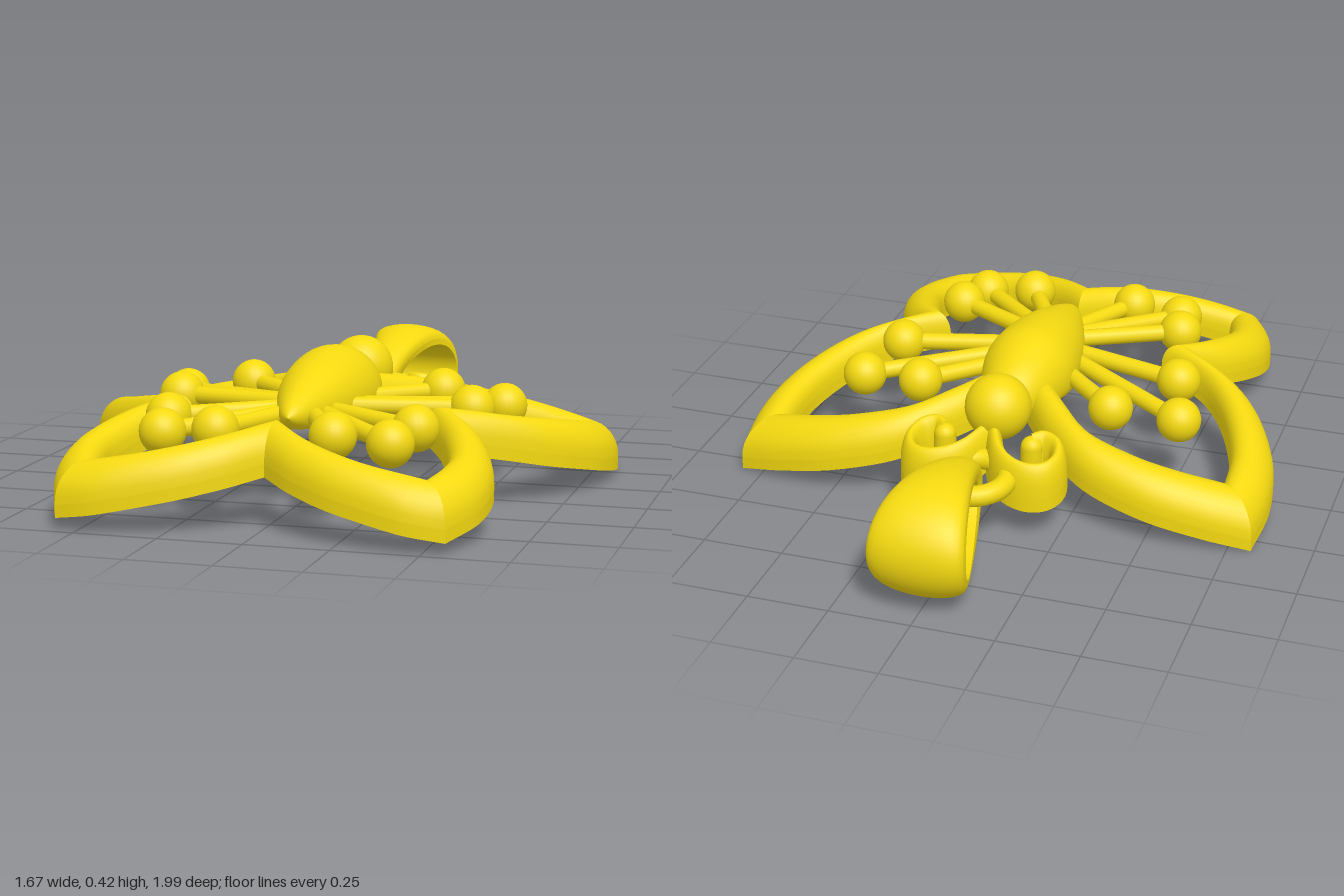
import * as THREE from 'three';

const V2 = (p) => new THREE.Vector2(p[0], p[1]);
const gold = new THREE.MeshStandardMaterial({ color: 0xf4d910 });

// Shallow dome the whole insect is bent over
const dome = (x, z) => 0.21 - 0.215 * (x * x + (z - 0.25) ** 2);

// Band cross-section [across -1..1, height 0..1]: crowned top, short walls, flat base
const section = [];
for (let i = 0; i <= 14; i++) {
  const t = (Math.PI * i) / 14;
  section.push([-Math.cos(t), 0.3 + 0.7 * Math.max(0, Math.sin(t)) ** 0.85]);
}
section.push([1, 0.3], [1, 0], [1, 0], [-1, 0], [-1, 0], [-1, 0.3]);

function add(parent, name, geometry, x = 0, y = 0, z = 0) {
  const mesh = new THREE.Mesh(geometry, gold);
  mesh.name = name;
  mesh.position.set(x, y, z);
  parent.add(mesh);
  return mesh;
}

// Skin rows of section points; point(u, across, height) returns [x, y, z]
function loft(steps, point, flip = false) {
  const n = section.length, pos = [], index = [];
  for (let i = 0; i <= steps; i++) {
    for (const [a, h] of section) pos.push(...point(i / steps, a, h));
    if (i === steps) break;
    for (let j = 0; j < n - 1; j++) {
      const p = i * n + j, q = p + n;
      if (flip) index.push(p, q, p + 1, p + 1, q, q + 1);
      else index.push(p, p + 1, q, p + 1, q + 1, q);
    }
  }
  const g = new THREE.BufferGeometry();
  g.setAttribute('position', new THREE.Float32BufferAttribute(pos, 3));
  g.setIndex(index);
  g.computeVertexNormals();
  return g;
}

// Band between an outer and an inner plan curve, resting on the dome
function band(outer, inner, height, side) {
  return loft(32, (u, a, h) => {
    const p = outer(u).lerp(inner(u), (a + 1) / 2);
    return [side * p.x, dome(p.x, p.y) + height * h, p.y];
  }, side < 0);
}

const spline = (pts) => {
  const c = new THREE.SplineCurve(pts.map(V2));
  return (u) => c.getPoint(u);
};

// Wing edges in plan [x, z], as outer and inner lines between sharp corners
const wingEdges = [
  ['upperWingFront',
    [[0.05, -0.08], [0.15, -0.2], [0.3, -0.32], [0.49, -0.365], [0.67, -0.35], [0.82, -0.31]],
    [[0.1, 0.02], [0.18, -0.08], [0.28, -0.18], [0.43, -0.22], [0.56, -0.22], [0.7, -0.195]]],
  ['upperWingSide',
    [[0.82, -0.31], [0.835, -0.13], [0.8, 0.05], [0.69, 0.24], [0.48, 0.4]],
    [[0.7, -0.195], [0.685, -0.03], [0.61, 0.16], [0.51, 0.29], [0.36, 0.37]]],
  ['lowerWingSide',
    [[0.48, 0.4], [0.57, 0.5], [0.63, 0.66], [0.625, 0.82], [0.565, 0.97]],
    [[0.36, 0.37], [0.44, 0.5], [0.495, 0.66], [0.495, 0.76], [0.47, 0.865]]],
  ['lowerWingBack',
    [[0.565, 0.97], [0.43, 0.99], [0.24, 0.955], [0.1, 0.885], [0, 0.8]],
    [[0.47, 0.865], [0.3, 0.85], [0.2, 0.81], [0.1, 0.74], [0, 0.63]]],
];

// Stamens: ball x, ball z, root z on the body axis
const stamens = [
  [0.515, -0.01, 0.3], [0.31, -0.055, 0.24], [0.46, 0.2, 0.31],
  [0.375, 0.55, 0.34], [0.34, 0.7, 0.36], [0.175, 0.71, 0.38],
];

const curl = new THREE.SplineCurve([
  [0.01, -0.29], [0.05, -0.37], [0.1, -0.415], [0.16, -0.43], [0.21, -0.41], [0.232, -0.36],
  [0.215, -0.305], [0.17, -0.285], [0.138, -0.31],
].map(V2));

function createSide(side) {
  const g = new THREE.Group();
  g.name = side > 0 ? 'leftHalf' : 'rightHalf';
  for (const [name, outer, inner] of wingEdges) {
    add(g, name, band(spline(outer), spline(inner), 0.125, side));
  }

  // Stems and their balls
  for (const [x, z, rootZ] of stamens) {
    const tip = new THREE.Vector3(side * x, dome(x, z) + 0.1, z);
    const root = new THREE.Vector3(0, 0.27, rootZ);
    add(g, 'stamenBall', new THREE.SphereGeometry(0.069, 24, 16), ...tip.toArray());
    add(g, 'stamenStem', new THREE.TubeGeometry(new THREE.LineCurve3(root, tip), 1, 0.027, 14));
  }

  // Curled antenna with a rounded end post
  const edge = (d) => (u) => {
    const t = curl.getTangent(u);
    return curl.getPoint(u).add(new THREE.Vector2(t.y, -t.x).multiplyScalar(d));
  };
  add(g, 'antenna', band(edge(0.028), edge(-0.028), 0.14, side));
  add(g, 'antennaEnd', new THREE.CapsuleGeometry(0.034, 0.06, 6, 16),
    side * 0.138, dome(0.138, -0.31) + 0.068, -0.31);
  return g;
}

export function createModel() {
  const model = new THREE.Group();
  model.name = 'butterflyPendant';
  model.add(createSide(1), createSide(-1));

  // Teardrop body with a flattened underside
  const profile = new THREE.SplineCurve([
    [0, -0.14], [0.06, -0.125], [0.105, -0.06], [0.14, 0.05], [0.145, 0.14],
    [0.125, 0.28], [0.08, 0.43], [0.035, 0.54], [0, 0.58],
  ].map(V2)).getPoints(40).map((p) => new THREE.Vector2(Math.max(0, p.x), p.y));
  const body = new THREE.LatheGeometry(profile, 40).rotateX(Math.PI / 2);
  const pos = body.attributes.position;
  for (let i = 0; i < pos.count; i++) pos.setY(i, Math.max(pos.getY(i), -0.045));
  body.computeVertexNormals();
  add(model, 'body', body, 0, 0.275, 0);

  add(model, 'head', new THREE.SphereGeometry(0.102, 32, 20), 0, 0.304, -0.215);
  add(model, 'jumpRing', new THREE.TorusGeometry(0.102, 0.032, 16, 40).rotateX(Math.PI / 2 - 0.08),
    0, 0.183, -0.45);

  // Tapered bail: teardrop loop, wide at the back and narrow at the ring
  add(model, 'bail', loft(64, (u, a, h) => {
    const t = u * Math.PI * 2, c = Math.cos(t);
    const drop = Math.sin(t) * (1 - 0.22 * c);
    const z = -0.73 + c * (0.205 + 0.075 * h) + 0.01 * h;
    const y = 0.187 + drop * (0.108 + 0.064 * h);
    const halfWidth = THREE.MathUtils.mapLinear(c, 1, -1, 0.04, 0.145);
    return [a * halfWidth, y, z];
  }));
  return model;
}
